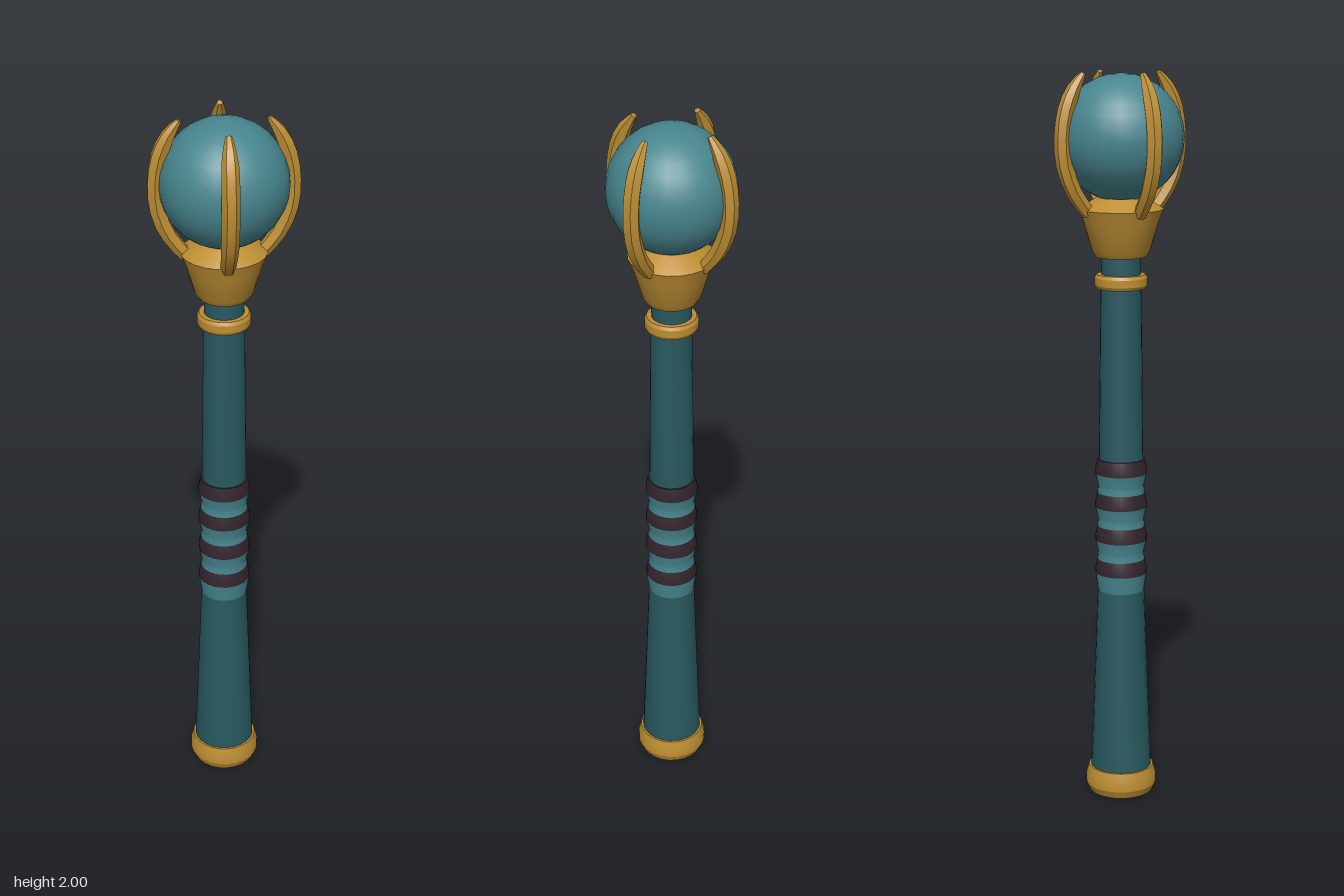
import * as THREE from 'three';
import { toCreasedNormals } from 'three/addons/utils/BufferGeometryUtils.js';

const SIDES = 24;

function material(name, color) {
  const m = new THREE.MeshStandardMaterial({ color });
  m.name = name;
  return m;
}

// Turned part from [radius, height] pairs, bottom to top
function turned(name, profile, mat) {
  const points = profile.map(([r, y]) => new THREE.Vector2(r, y));
  const mesh = new THREE.Mesh(toCreasedNormals(new THREE.LatheGeometry(points, SIDES), 0.4), mat);
  mesh.name = name;
  return mesh;
}

// Curved prong: a six-sided section swept along a path in the x-y plane
function clawGeometry() {
  const path = new THREE.CatmullRomCurve3([
    [0.098, 1.63], [0.14, 1.685], [0.168, 1.755], [0.174, 1.83], [0.163, 1.9], [0.14, 1.955], [0.113, 1.993],
  ].map(([x, y]) => new THREE.Vector3(x, y, 0)));
  const section = [[0.02, -0.011], [0.02, 0.011], [0.002, 0.023], [-0.019, 0.011], [-0.019, -0.011], [0.002, -0.023]];
  const rings = 12, n = section.length;
  const positions = [], index = [];
  for (let i = 0; i <= rings; i++) {
    const t = i / rings;
    const p = path.getPoint(t), d = path.getTangent(t);
    const size = t < 0.7 ? 0.85 + 0.15 * Math.min(1, t * 4) : 1 - 0.65 * ((t - 0.7) / 0.3) ** 1.5;
    for (const [out, side] of section) {
      positions.push(p.x + d.y * out * size, p.y - d.x * out * size, side * size);
    }
  }
  for (let i = 0; i < rings; i++) {
    for (let j = 0; j < n; j++) {
      const a = i * n + j, b = i * n + (j + 1) % n;
      index.push(a, a + n, b, b, a + n, b + n);
    }
  }
  // End caps
  const top = rings * n;
  for (let j = 1; j < n - 1; j++) index.push(0, j, j + 1, top, top + j + 1, top + j);
  const g = new THREE.BufferGeometry();
  g.setAttribute('position', new THREE.Float32BufferAttribute(positions, 3));
  g.setIndex(index);
  return toCreasedNormals(g, 0.4);
}

export function createModel() {
  const model = new THREE.Group();
  model.name = 'scepter';
  const gold = material('gold', 0xbd8e33);
  const darkTeal = material('dark teal', 0x28595f);
  const teal = material('teal', 0x47858e);
  const plum = material('dark plum', 0x33252f);

  // Handle
  model.add(
    turned('pommel', [[0, 0], [0.088, 0], [0.098, 0.022], [0.098, 0.045], [0.09, 0.073], [0, 0.073]], gold),
    turned('lowerShaft', [[0.084, 0.07], [0.064, 0.59]], darkTeal),
    turned('upperShaft', [[0.061, 0.93], [0.055, 1.43]], darkTeal),
    turned('neck', [[0.053, 1.43], [0.053, 1.53]], darkTeal),
    turned('collar', [[0.05, 1.425], [0.066, 1.425], [0.071, 1.434], [0.071, 1.454], [0.066, 1.463], [0.05, 1.463]], gold),
  );

  // Grip: wrapped bands with pinched sections below each
  const grip = new THREE.Group();
  grip.name = 'grip';
  for (let i = 0; i < 4; i++) {
    const y = 0.635 + i * 0.094;
    const low = i === 0 ? [[0.06, y - 0.05], [0.064, y - 0.05]] : [[0.065, y - 0.054], [0.063, y - 0.035]];
    grip.add(turned('gripSection', [...low, [0.071, y]], teal));
    const band = [[0.071, y], [0.071, y + 0.012], [0.065, y + 0.04]];
    if (i === 3) band.push([0.055, y + 0.04]);
    grip.add(turned('gripBand', band, plum));
  }
  model.add(grip);

  // Head: cup, orb and four claws on the diagonals
  model.add(turned('cup', [[0, 1.51], [0.068, 1.51], [0.078, 1.525], [0.1, 1.6], [0.114, 1.637], [0.104, 1.645], [0.066, 1.668], [0, 1.668]], gold));
  const orb = new THREE.Mesh(new THREE.SphereGeometry(0.168, SIDES, 16), teal);
  orb.name = 'orb';
  orb.position.y = 1.825;
  model.add(orb);
  const claw = clawGeometry();
  for (let i = 0; i < 4; i++) {
    const mesh = new THREE.Mesh(claw, gold);
    mesh.name = 'claw';
    mesh.rotation.y = Math.PI / 4 + i * Math.PI / 2;
    model.add(mesh);
  }
  return model;
}
